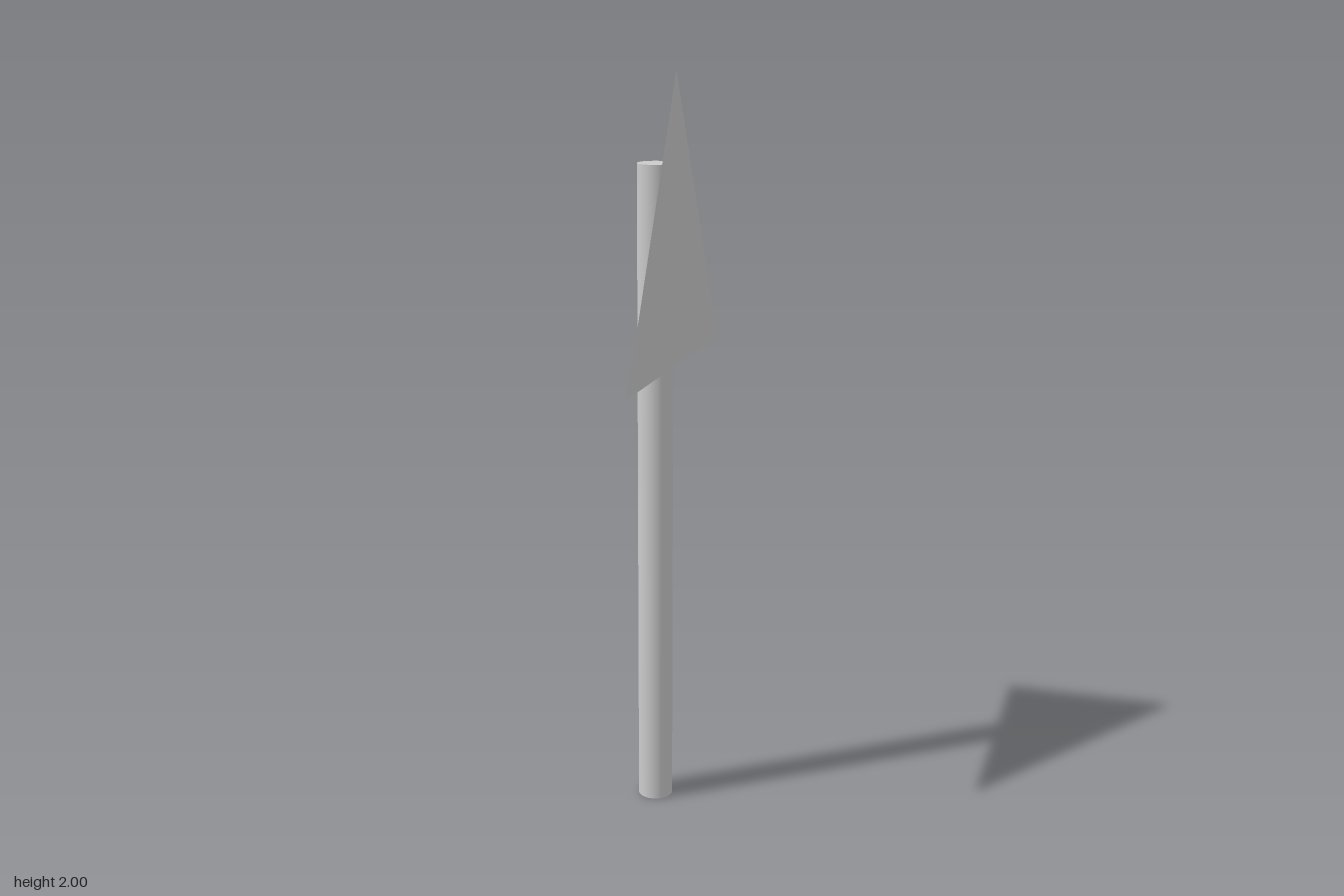
import * as THREE from 'three';

export function createModel() {
  const model = new THREE.Group();
  model.name = 'roadSign';

  // Round post with capped ends
  const postHeight = 1.768;
  const post = new THREE.Mesh(
    new THREE.CylinderGeometry(0.047, 0.047, postHeight, 48),
    new THREE.MeshStandardMaterial({ color: 0xcccccc })
  );
  post.name = 'post';
  post.position.set(-0.002, postHeight / 2, 0.015);
  model.add(post);

  // Thin triangular sign plate, facing +x
  const triangle = new THREE.Shape([
    new THREE.Vector2(-0.381, 1.239),
    new THREE.Vector2(0.381, 1.239),
    new THREE.Vector2(0, 2),
  ]);
  const plate = new THREE.Mesh(
    new THREE.ShapeGeometry(triangle),
    new THREE.MeshStandardMaterial({ color: 0xcccccc, side: THREE.DoubleSide })
  );
  plate.name = 'signPlate';
  plate.rotation.y = Math.PI / 2;
  plate.position.x = 0.049;
  model.add(plate);

  return model;
}
